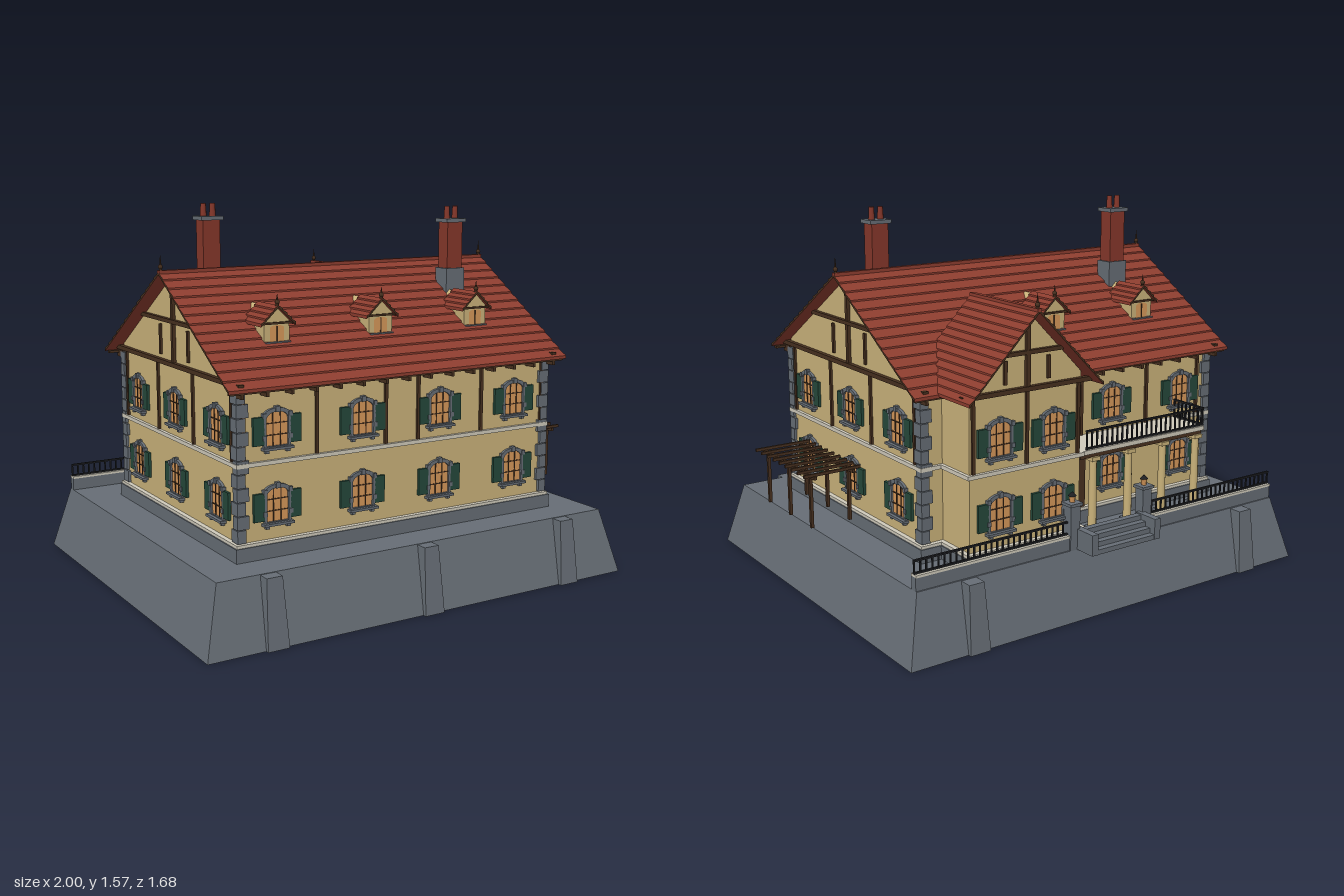
import * as THREE from 'three';

const mat = (name, color, side = THREE.FrontSide) => {
  const m = new THREE.MeshStandardMaterial({ color, side });
  m.name = name;
  return m;
};

export function createModel() {
  const stone = mat('stone grey', 0x666d75);
  const plaster = mat('ochre plaster', 0xcab27a);
  const tile = mat('roof tile red', 0x8d3d2f, THREE.DoubleSide);
  const brick = mat('brick red', 0x85372a);
  const timber = mat('dark timber', 0x47301f);
  const cream = mat('cream trim', 0xcfcabb);
  const glass = mat('warm glass', 0xd6985a);
  const green = mat('shutter green', 0x25483a);
  const iron = mat('black iron', 0x1e1f22);

  const model = new THREE.Group();
  model.name = 'house';

  const add = (parent, name, geo, m, x = 0, y = 0, z = 0) => {
    const mesh = new THREE.Mesh(geo, m);
    mesh.name = name;
    mesh.position.set(x, y, z);
    parent.add(mesh);
    return mesh;
  };
  // Box standing on y
  const box = (parent, name, m, w, h, d, x, y, z) =>
    add(parent, name, new THREE.BoxGeometry(w, h, d), m, x, y + h / 2, z);
  const group = (parent, name, x = 0, y = 0, z = 0, ry = 0) => {
    const g = new THREE.Group();
    g.name = name;
    g.position.set(x, y, z);
    g.rotation.y = ry;
    parent.add(g);
    return g;
  };
  const extrude = (pts, depth) => new THREE.ExtrudeGeometry(
    new THREE.Shape(pts.map(([x, y]) => new THREE.Vector2(x, y))), { depth, bevelEnabled: false }
  ).translate(0, 0, -depth / 2);

  // Tapered block: rectangles [x0, x1, z0, z1] at bottom and top
  const frustum = (b, t, h) => {
    const geo = new THREE.BoxGeometry(1, 1, 1).toNonIndexed(), p = geo.attributes.position;
    for (let i = 0; i < p.count; i++) {
      const up = p.getY(i) > 0, r = up ? t : b;
      p.setXYZ(i, r[p.getX(i) > 0 ? 1 : 0], up ? h : 0, r[p.getZ(i) > 0 ? 3 : 2]);
    }
    geo.computeVertexNormals();
    return geo;
  };
  const gableWall = (half, base, apex, slope, depth) => {
    const e = apex - half * slope;
    return extrude([[-half, base], [half, base], [half, e], [0, apex], [-half, e]], depth);
  };
  // Roof with overlapping courses of tiles
  const gableRoof = (half, eave, apex, rows, depth) => {
    const left = [], step = 0.007;
    for (let i = 0; i < rows; i++) {
      const at = (k) => [-half * (1 - k / rows), eave + (apex - eave) * k / rows];
      const [x, y] = at(i);
      left.push([x, y + step], at(i + 1));
    }
    left.pop();
    const right = left.map(([x, y]) => [-x, y]).reverse();
    return extrude([[-half, eave - 0.006], ...left, [0, apex], ...right,
      [half, eave - 0.006], [0, apex - 0.008]], depth);
  };
  const finial = (parent, x, y, z, h) => {
    add(parent, 'finial', new THREE.ConeGeometry(0.008, h, 6), timber, x, y + h / 2, z);
    add(parent, 'finial ball', new THREE.SphereGeometry(0.01, 8, 6), timber, x, y + h * 0.3, z);
  };

  // Arched outline with a shallow curved head
  const arch = (C, w, h, y0 = 0, rise = 0.022) => {
    const s = new C();
    s.moveTo(-w, y0);
    s.lineTo(w, y0);
    s.lineTo(w, h - rise);
    s.quadraticCurveTo(w * 0.75, h, 0, h);
    s.quadraticCurveTo(-w * 0.75, h, -w, h - rise);
    s.closePath();
    return s;
  };
  const surround = arch(THREE.Shape, 0.057, 0.15);
  surround.holes.push(arch(THREE.Path, 0.046, 0.136, 0.006));
  const surroundGeo = new THREE.ExtrudeGeometry(surround, { depth: 0.012, bevelEnabled: false, curveSegments: 6 });
  const paneGeo = new THREE.ShapeGeometry(arch(THREE.Shape, 0.048, 0.138), 6);

  const windowUnit = (parent, x, y) => {
    const g = group(parent, 'window', x, y, 0);
    add(g, 'pane', paneGeo, glass, 0, 0, 0.004);
    add(g, 'surround', surroundGeo, stone);
    for (const dx of [-0.016, 0.016]) box(g, 'mullion', timber, 0.004, 0.13, 0.004, dx, 0.004, 0.005);
    for (const dy of [0.045, 0.09]) box(g, 'glazing bar', timber, 0.092, 0.004, 0.004, 0, dy, 0.005);
    box(g, 'sill', stone, 0.13, 0.01, 0.026, 0, -0.008, 0.013);
    box(g, 'keystone', stone, 0.018, 0.022, 0.018, 0, 0.135, 0.009);
    for (const s of [-1, 1]) {
      box(g, 'sill foot', stone, 0.014, 0.012, 0.016, s * 0.045, -0.02, 0.008);
      box(g, 'shutter', green, 0.046, 0.108, 0.012, s * 0.079, 0.012, 0.006);
      for (const dy of [0.03, 0.115]) box(g, 'jamb block', stone, 0.016, 0.018, 0.016, s * 0.055, dy, 0.008);
    }
  };
  const facade = (name, x, z, ry, wins, posts) => {
    const f = group(model, name, x, 0, z, ry);
    for (const wx of wins) for (const y of [0.4, 0.692]) windowUnit(f, wx, y);
    for (const px of posts) box(f, 'timber post', timber, 0.014, 0.29, 0.012, px, 0.645, 0.003);
    return f;
  };
  const gableTimbers = (f, half, apex, collarY, collar, strut) => {
    box(f, 'tie beam', timber, half * 2, 0.018, 0.022, 0, 0.93, 0.008);
    box(f, 'king post', timber, 0.018, apex - 0.95, 0.016, 0, 0.935, 0.006);
    box(f, 'collar beam', timber, collar * 2, 0.016, 0.02, 0, collarY, 0.007);
    for (const s of [-1, 1]) box(f, 'strut', timber, 0.014, collarY - 0.98, 0.012, s * strut, 0.965, 0.003);
  };

  // Battered stone base with buttresses
  add(model, 'plinth', frustum([-1, 0.957, -0.81, 0.82], [-0.93, 0.89, -0.745, 0.755], 0.27), stone);
  for (const x of [-0.72, -0.025, 0.665]) {
    add(model, 'front buttress', frustum([x - 0.045, x + 0.045, 0.7, 0.835], [x - 0.033, x + 0.033, 0.7, 0.805], 0.268), stone);
    if (x !== -0.025) add(model, 'back buttress', frustum([x - 0.045, x + 0.045, -0.825, -0.7], [x - 0.033, x + 0.033, -0.8, -0.7], 0.268), stone);
  }

  // Main block, rear wing and their trims
  const CX = -0.02, CZ = 0.042, SL = 0.637;
  const main = group(model, 'main block', CX, 0, CZ, Math.PI / 2);
  add(main, 'main walls', gableWall(0.543, 0.27, 1.302, SL, 1.46), plaster);
  add(main, 'main roof', gableRoof(0.603, 0.925, 1.31, 13, 1.59), [timber, tile]);
  box(main, 'ridge cap', tile, 0.022, 0.014, 1.59, 0, 1.305, 0);
  for (const s of [-1, 1]) finial(main, 0, 1.31, s * 0.785, 0.075);
  const WX = 0.36;
  add(model, 'wing walls', gableWall(0.26, 0.27, 1.235, 1.016, 0.355), plaster, WX, 0, -0.5075);
  add(model, 'wing roof', gableRoof(0.31, 0.93, 1.245, 13, 0.445), [timber, tile], WX, 0, -0.5425);
  box(model, 'wing ridge cap', tile, 0.02, 0.012, 0.445, WX, 1.24, -0.5425);
  finial(model, WX, 1.245, -0.75, 0.065);
  for (const [name, m, y, h, o] of [['footing', stone, 0.265, 0.06, 0.025],
    ['footing trim', cream, 0.325, 0.012, 0.02], ['floor band', cream, 0.628, 0.016, 0.014]]) {
    box(model, name, m, 1.46 + 2 * o, h, 1.086 + 2 * o, CX, y, CZ);
    box(model, 'wing ' + name, m, 0.52 + 2 * o, h, 0.285 + o, WX, y, -0.5425 - o / 2);
  }

  // Alternating corner stones
  const quoins = (x, z, sx, sz) => {
    for (let i = 0; i < 11; i++) {
      const w = i % 2 ? 0.05 : 0.036, d = i % 2 ? 0.036 : 0.05;
      box(model, 'quoin', stone, w, 0.05, d, x + sx * (0.012 - w / 2), 0.34 + i * 0.053, z + sz * (0.012 - d / 2));
    }
  };
  for (const sx of [-1, 1]) for (const sz of [-1, 1]) quoins(CX + sx * 0.73, CZ + sz * 0.543, sx, sz);

  // Facades
  facade('front facade', 0, 0.585, 0, [-0.59, -0.21, 0.16, 0.54], [-0.575 - 0.155, -0.415, -0.1, 0.055, 0.37, 0.69]);
  for (const [name, x, ry] of [['left facade', 0.71, Math.PI / 2], ['right facade', -0.75, -Math.PI / 2]]) {
    const f = facade(name, x, CZ, ry, [-0.375, 0, 0.375], [-0.5, -0.167, 0.167, 0.5]);
    gableTimbers(f, 0.59, 1.3, 1.105, 0.3, 0.132);
  }
  facade('back facade', 0, -0.501, Math.PI, [0.59, 0.21], [0.69, 0.4, 0.05]);
  const wing = facade('wing facade', WX, -0.685, Math.PI, [-0.125, 0.125], [-0.245, 0, 0.245]);
  gableTimbers(wing, 0.3, 1.235, 1.07, 0.16, 0.1);
  box(model, 'back door', timber, 0.1, 0.22, 0.02, -0.02, 0.33, -0.503);

  // Rafter tails under the eaves
  for (let i = 0; i < 15; i++) for (const s of [-1, 1]) {
    const x = CX - 0.735 + i * 0.105;
    if (s < 0 && x > 0.07 && x < 0.65) continue;
    box(model, 'rafter tail', timber, 0.012, 0.03, 0.06, x, 0.895, CZ + s * 0.565);
  }
  for (const s of [-1, 1]) box(model, 'eaves plate', timber, 1.57, 0.01, 0.02, CX, 0.912, CZ + s * 0.585);

  // Dormers
  const dormer = (x, z, ry) => {
    const d = group(model, 'dormer', x, 0, z, ry);
    add(d, 'dormer walls', gableWall(0.055, 1.05, 1.195, 0.95, 0.2), plaster, 0, 0, 0.29);
    add(d, 'dormer roof', gableRoof(0.076, 1.13, 1.203, 4, 0.165), [timber, tile], 0, 0, 0.325);
    box(d, 'dormer beam', timber, 0.135, 0.008, 0.012, 0, 1.13, 0.392);
    box(d, 'dormer sill', stone, 0.11, 0.01, 0.016, 0, 1.053, 0.394);
    const pane = add(d, 'dormer pane', paneGeo, glass, 0, 1.063, 0.392);
    pane.scale.set(0.65, 0.46, 1);
    box(d, 'dormer mullion', timber, 0.004, 0.06, 0.004, 0, 1.063, 0.393);
    finial(d, 0, 1.2, 0.395, 0.05);
  };
  for (const x of [-0.5, -0.025, 0.45]) dormer(x, CZ, 0);
  for (const x of [-0.5, -0.025]) dormer(x, CZ, Math.PI);

  // Chimneys
  for (const [x, z, top] of [[-0.51, -0.135, 1.515], [0.48, 0.212, 1.495]]) {
    const c = group(model, 'chimney', x, 0, z);
    box(c, 'chimney base', stone, 0.095, 0.17, 0.08, 0, 1.115, 0);
    box(c, 'chimney stack', brick, 0.078, top - 1.28, 0.065, 0, 1.28, 0);
    box(c, 'chimney cap', stone, 0.1, 0.016, 0.085, 0, top - 0.014, 0);
    for (const s of [-1, 1]) add(c, 'chimney pot', new THREE.CylinderGeometry(0.011, 0.014, 0.055, 10), brick, s * 0.021, top + 0.027, 0);
  }

  // Pergola
  const pergola = group(model, 'pergola');
  for (const x of [0.785, 0.955]) {
    box(pergola, 'pergola beam', timber, 0.012, 0.014, 0.47, x, 0.532, 0.135);
    for (const z of [-0.055, 0.135, 0.33]) box(pergola, 'pergola post', timber, 0.013, 0.215, 0.013, x, 0.322, z);
  }
  for (let i = 0; i < 9; i++) box(pergola, 'pergola rafter', timber, 0.25, 0.012, 0.01, 0.875, 0.544, -0.087 + i * 0.0553);

  // Railing of a given length along local x
  const railing = (x, y, z, len, h, ry = 0, gap = 0.026) => {
    const r = group(model, 'railing', x, y, z, ry);
    for (const k of [0.12, 1]) box(r, 'rail', iron, len, 0.007, 0.01, 0, h * k - 0.007, 0);
    const n = Math.round(len / gap);
    for (let i = 0; i <= n; i++) box(r, 'baluster', iron, 0.006, h, 0.006, (i / n - 0.5) * (len - 0.006), 0, 0);
  };

  // Back parapet with railing
  for (const [a, b] of [[-0.93, -0.22], [0.18, 0.89]]) {
    box(model, 'parapet', stone, b - a, 0.055, 0.03, (a + b) / 2, 0.268, -0.724);
    box(model, 'parapet coping', cream, b - a, 0.01, 0.036, (a + b) / 2, 0.322, -0.724);
    railing((a + b) / 2, 0.332, -0.724, b - a, 0.055);
  }

  // Back steps, cheek walls and lamp pillars
  for (let i = 0; i < 4; i++) box(model, 'step', stone, 0.29, 0.02 + i * 0.02, 0.028, -0.02, 0.27, -0.825 + i * 0.027);
  for (const x of [-0.18, 0.14]) box(model, 'cheek wall', stone, 0.03, 0.085, 0.115, x, 0.27, -0.783);
  for (const x of [-0.205, 0.165]) {
    box(model, 'pillar', stone, 0.046, 0.18, 0.046, x, 0.27, -0.724);
    box(model, 'pillar cap', stone, 0.06, 0.012, 0.06, x, 0.45, -0.724);
    add(model, 'lamp', new THREE.CylinderGeometry(0.014, 0.01, 0.026, 6), glass, x, 0.475, -0.724);
    add(model, 'lamp hood', new THREE.ConeGeometry(0.018, 0.018, 6), iron, x, 0.497, -0.724);
  }

  // Balcony on columns
  box(model, 'balcony slab', cream, 0.655, 0.018, 0.19, -0.238, 0.626, -0.595);
  box(model, 'balcony beam', timber, 0.65, 0.02, 0.02, -0.238, 0.606, -0.665);
  railing(-0.25, 0.644, -0.682, 0.63, 0.08);
  railing(-0.56, 0.644, -0.595, 0.17, 0.08, Math.PI / 2);
  for (let i = 0; i < 4; i++) {
    const x = -0.54 + i * 0.185;
    add(model, 'column', new THREE.CylinderGeometry(0.015, 0.018, 0.3, 12), plaster, x, 0.45, -0.665);
    box(model, 'column base', stone, 0.046, 0.045, 0.046, x, 0.27, -0.665);
    box(model, 'column capital', plaster, 0.042, 0.016, 0.042, x, 0.592, -0.665);
  }
  return model;
}
